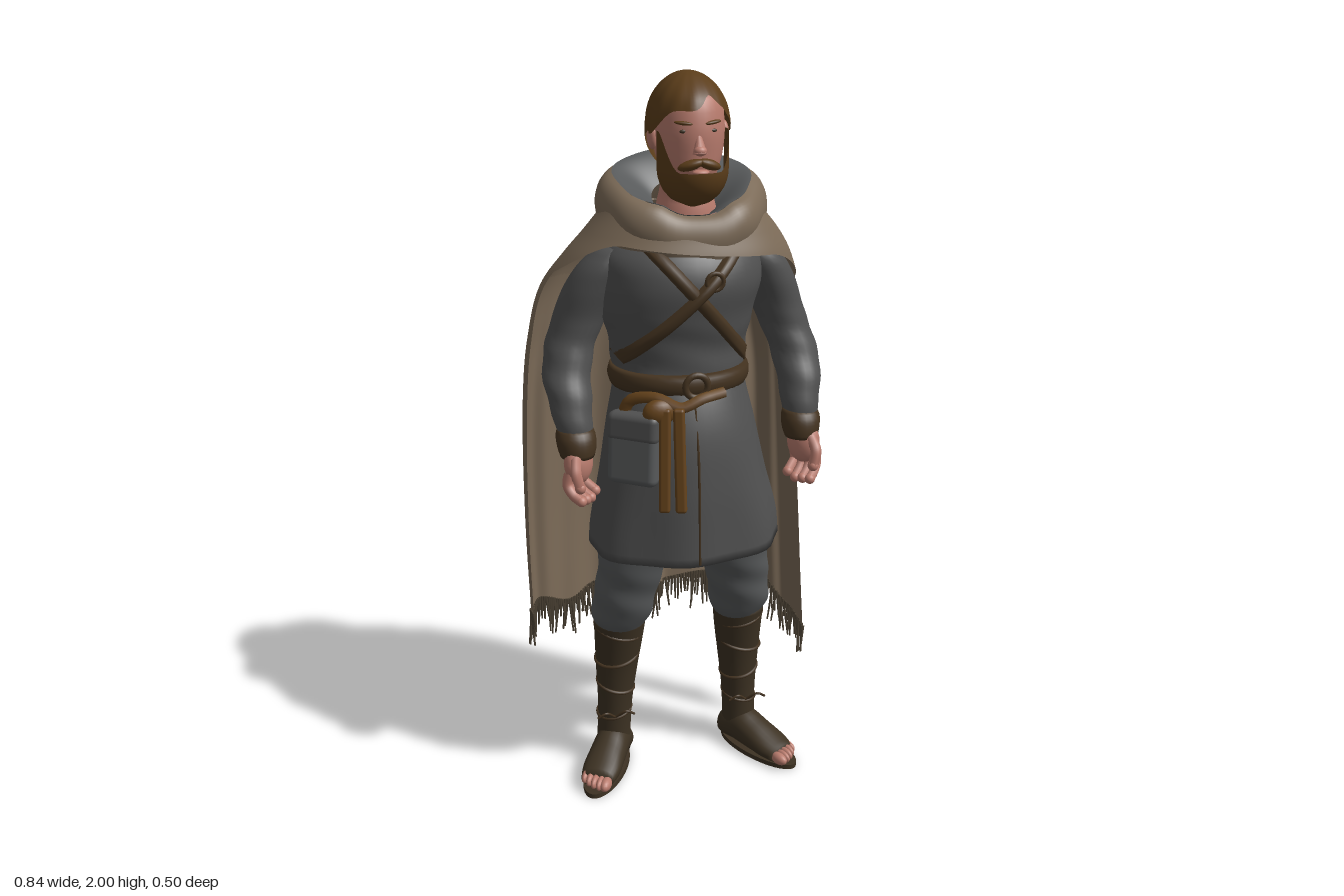
import * as THREE from 'three';
import { mergeVertices, mergeGeometries } from 'three/addons/utils/BufferGeometryUtils.js';
import { RoundedBoxGeometry } from 'three/addons/geometries/RoundedBoxGeometry.js';

const { sin, cos, PI, abs, sign, sqrt, exp, max, min } = Math;
const lerp = THREE.MathUtils.lerp, smooth = THREE.MathUtils.smoothstep;
const V = (x, y, z) => new THREE.Vector3(x, y, z);

// Smooth surface from a function of (u, v), both 0..1
function grid(nu, nv, fn) {
  const pos = [], idx = [];
  for (let j = 0; j <= nv; j++) for (let i = 0; i <= nu; i++) pos.push(...fn(i / nu, j / nv));
  for (let j = 0; j < nv; j++) for (let i = 0; i < nu; i++) {
    const a = j * (nu + 1) + i, b = a + nu + 1;
    idx.push(a, a + 1, b, a + 1, b + 1, b);
  }
  let g = new THREE.BufferGeometry();
  g.setAttribute('position', new THREE.Float32BufferAttribute(pos, 3));
  g.setIndex(idx);
  g = mergeVertices(g, 1e-5);
  g.computeVertexNormals();
  return g;
}

// Smooth interpolation of rows [y, ...values], listed from low to high
function rowsAt(rows) {
  const n = rows[0].length - 1;
  const it = new THREE.CubicInterpolant(new Float32Array(rows.map(r => r[0])),
    new Float32Array(rows.flatMap(r => r.slice(1))), n);
  return y => Array.from(it.evaluate(y));
}

// Body of elliptical rings [y, cx, cz, rx, rz], closed at both ends
function loft(rows, nu = 28, nv = 24, ripple = () => 0) {
  const at = rowsAt(rows), y0 = rows[0][0], y1 = rows[rows.length - 1][0];
  return grid(nu, nv + 2, (u, v) => {
    const k = v * (nv + 2) - 1, y = lerp(y0, y1, min(1, max(0, k / nv))), a = u * 2 * PI;
    const [cx, cz, rx, rz] = at(y), s = (k < 0 || k > nv) ? 0 : 1 + ripple(a, y);
    return [cx + rx * s * sin(a), y, cz + rz * s * cos(a)];
  });
}

export function createModel() {
  const root = new THREE.Group();
  const mat = (name, color, side = THREE.FrontSide) => Object.assign(new THREE.MeshStandardMaterial({ color, side }), { name });
  const M = {
    cloak: mat('cloakWool', 0x7b6a57, THREE.DoubleSide), fringe: mat('fringeThread', 0x4e4436),
    tunic: mat('greyTunic', 0x505050, THREE.DoubleSide), trousers: mat('greyTrousers', 0x57595a, THREE.DoubleSide),
    boot: mat('bootLeather', 0x3d3223), belt: mat('darkLeather', 0x443320, THREE.DoubleSide),
    leather: mat('tanLeather', 0x64421b), skin: mat('skin', 0xb97c6e),
    hair: mat('brownHair', 0x5b3d1a, THREE.DoubleSide),
  };
  const add = (name, geo, m, parent = root) => {
    const mesh = new THREE.Mesh(geo, m);
    mesh.name = name;
    parent.add(mesh);
    return mesh;
  };
  const ball = (name, m, p, s, parent) => {
    const b = add(name, new THREE.SphereGeometry(1, 18, 12), m, parent);
    b.position.set(...p); b.scale.set(...s);
    return b;
  };
  const tube = (name, pts, r, m, parent) =>
    add(name, new THREE.TubeGeometry(new THREE.CatmullRomCurve3(pts.map(p => V(...p))), 20, r, 6), m, parent);

  // Tunic body and skirt
  const chest = [[1.2, 0, .02, .175, .15], [1.3, 0, .015, .185, .15], [1.4, 0, .012, .205, .17],
    [1.48, .01, .012, .215, .178], [1.55, .01, .005, .2, .16], [1.61, .02, 0, .13, .11], [1.64, .022, 0, .095, .088]];
  const skirt = [[.74, .01, .055, .265, .193], [.8, .01, .053, .26, .193], [.95, .005, .05, .228, .19],
    [1.1, 0, .042, .2, .178], [1.18, 0, .028, .182, .165], [1.22, 0, .02, .175, .153]];
  add('tunicBody', loft(chest, 36, 30, (a, y) => .014 * sin(y * 60 + 2 * sin(a * 2)) * smooth(1.42 - y, 0, .1)), M.tunic);
  add('tunicSkirt', loft(skirt, 48, 20, (a, y) => .03 * cos(a * 7 + 1) * smooth(1.2 - y, 0, .45)), M.tunic);
  const front = rows => {
    const at = rowsAt(rows);
    return (x, y) => { const [cx, cz, rx, rz] = at(y); return cz + rz * sqrt(max(0, 1 - ((x - cx) / rx) ** 2)); };
  };
  const chestZ = front(chest), skirtZ = front(skirt);
  tube('skirtOpening', [.745, .8, .87, .95, 1.05, 1.18].map(y => [0, y, skirtZ(0, y) + .003 * smooth(1.2 - y, 0, .45)]), .0035, M.belt);

  // Crossed chest straps
  const strap = (name, x0, y0, x1, y1, lift) => {
    const d = V(x1 - x0, y1 - y0, 0).normalize();
    add(name, grid(24, 6, (u, v) => {
      const s = v * 2 - 1, x = lerp(x0, x1, u) - d.y * s * .018, y = lerp(y0, y1, u) + d.x * s * .018;
      return [x, y, chestZ(x, y) + lift * (1 - s ** 4)];
    }), M.belt);
  };
  strap('chestStrapA', -.12, 1.6, .18, 1.26, .014);
  strap('chestStrapB', -.175, 1.28, .13, 1.57, .019);
  const clasp = add('strapBuckle', new THREE.TorusGeometry(.022, .006, 8, 16), M.belt);
  clasp.position.set(.05, 1.5, chestZ(.05, 1.5) + .014);

  // Belt, buckle, knotted leather, hanging tails and pouch
  add('belt', loft([[1.195, 0, .02, .183, .16], [1.21, 0, .02, .19, .167], [1.235, 0, .02, .19, .167], [1.25, 0, .02, .183, .16]], 36, 6), M.belt);
  add('beltBuckle', new THREE.TorusGeometry(.03, .009, 8, 24), M.belt).position.set(.005, 1.225, .19);
  tube('leatherWrap', [[-.18, 1.13, .125], [-.16, 1.185, .14], [-.1, 1.2, .18], [-.04, 1.175, .203], [.02, 1.195, .2], [.08, 1.2, .18]], .016, M.leather);
  ball('leatherKnot', M.leather, [-.095, 1.165, .194], [.045, .036, .026]);
  [[-.088, .9, .03], [-.05, .9, .03], [-.115, 1.04, .028]].forEach(([x, y0, w], i) => {
    const h = 1.18 - y0, y = y0 + h / 2, t = add('leatherTail' + i, new RoundedBoxGeometry(w, h, .024, 2, .008), M.leather);
    t.position.set(x, y, skirtZ(x, y) + .007);
    t.rotation.set(-.1, -.35, .03 * (i - 1));
  });
  const pouch = new THREE.Group();
  pouch.name = 'pouch'; pouch.position.set(-.157, 1.06, .168); pouch.rotation.set(-.1, -.65, -.06);
  root.add(pouch);
  add('pouchBag', new RoundedBoxGeometry(.14, .19, .05, 3, .02), M.trousers, pouch);
  add('pouchFlap', new RoundedBoxGeometry(.145, .08, .056, 3, .02), M.tunic, pouch).position.y = .06;

  // Cloak surface: a = 0 at the back, y is height. Rows: y, left x, right x, back z, front z, side z
  const cloakAt = rowsAt([[.3, -.41, .412, -.215, .1, -.01], [.5, -.415, .4, -.22, .1, -.018], [.8, -.418, .385, -.23, .1, -.035],
    [1.15, -.405, .365, -.234, .15, -.065], [1.3, -.385, .35, -.236, .17, -.085], [1.45, -.345, .345, -.235, .19, -.08],
    [1.54, -.285, .31, -.23, .185, -.04], [1.6, -.235, .27, -.217, .165, -.02], [1.66, -.19, .22, -.19, .145, -.01], [1.76, -.14, .17, -.15, .1, 0]]);
  const pw = (v, p) => sign(v) * abs(v) ** p;
  const cloak = (a, y) => {
    const [xl, xr, zb, zf, cz] = cloakAt(y), low = smooth(1.62 - y, 0, .5), p = lerp(.95, a < 0 ? .88 : .62, low);
    const s = pw(sin(a), p), c = pw(cos(a), p);
    const seam = .035 * exp(-((s / .035) ** 2)), lobe = .03 * exp(-(((a - .75) / .2) ** 2));
    const fold = low * (.011 * sin(a * 8 + 1.2 + y) + .006 * sin(a * 17 - y * 2) + seam - lobe);
    const mid = (xl + xr) / 2, r = (xr - xl) / 2;
    return [mid + r * s * (1 - .6 * fold), y, cz + (c > 0 ? (zb - cz) * c + fold * min(1, c * 2) : (cz - zf) * c)];
  };
  const edge = a => 1.42 + .145 * smooth(-cos(a), -.3, .75) - .03 * sin(a);
  const hem = a => .475 - .125 * smooth(a, .6, 1.4) + .03 * smooth(-a, .6, 1.5) + .012 * sin(a * 11);
  // Angle along the cape, t from -1 at its right edge to 1 at its left edge
  const capeAngle = t => (t < 0 ? 1.64 : 1.5) * pw(t, 1.4);
  add('cloakMantle', grid(120, 16, (u, v) => {
    const a = PI - u * 2 * PI;
    return cloak(a, lerp(edge(a), 1.68 + .065 * cos(a), v));
  }), M.cloak);
  add('cloakCape', grid(160, 40, (u, v) => {
    const a = capeAngle(1 - 2 * u);
    return cloak(a, lerp(hem(a), edge(a) + .01, v));
  }), M.cloak);

  // Hood lying round the neck, dipping at the throat, with its grey lining
  const hood = profile => grid(64, 18, (u, v) => {
    const a = PI - u * 2 * PI, [k, dy] = profile(v), f = smooth(-cos(a), .2, 1);
    const lump = 1 + .035 * sin(a * 5 + 1), dip = .022 * smooth(-cos(a), .85, 1);
    return [.022 + .178 * k * lump * sin(a), 1.727 + .05 * cos(a) - dip + dy * (1 - .2 * f), -.018 - .15 * k * lump * cos(a)];
  });
  add('hoodRoll', hood(v => [1 + .17 * sin(PI * (1 - v) ** .8) + .2 * (1 - v), -.14 * (1 - v) + .008 * sin(PI * v ** 3)]), M.cloak);
  add('hoodLining', hood(v => [1.02 - .57 * v, .003 - .065 * v ** 1.5]), M.trousers);

  // Hanging threads along the hem
  let seed = 7;
  const rnd = () => (seed = (seed * 16807) % 2147483647) / 2147483647;
  const threads = [];
  for (let i = 0; i < 140; i++) {
    const a = capeAngle(i / 69.5 - 1), h = .05 + .075 * rnd(), [x, y, z] = cloak(a, hem(a));
    const t = new THREE.CylinderGeometry(.0045, .0025, h, 4);
    t.translate(0, -h / 2 + .012, 0).rotateZ((rnd() - .5) * .25).rotateX((rnd() - .5) * .25).translate(x, y, z);
    threads.push(t);
  }
  add('cloakFringe', mergeGeometries(threads), M.fringe);

  // Head and neck
  const hx = .025;
  add('head', loft([[1.58, hx, 0, .09, .08], [1.66, hx, 0, .078, .078], [1.7, hx, 0, .068, .074], [1.75, hx, .03, .07, .09], [1.8, hx, .025, .085, .104],
    [1.88, hx, .02, .091, .11], [1.95, hx, .012, .075, .09], [1.985, hx, .01, .03, .04]], 32, 26), M.skin);
  const nose = add('nose', new THREE.ConeGeometry(.019, .065, 12), M.skin);
  nose.position.set(hx, 1.842, .129); nose.rotation.x = -.22;
  ball('noseTip', M.skin, [hx, 1.818, .139], [.017, .013, .015]);
  ball('lips', M.skin, [hx, 1.766, .146], [.022, .008, .014]);
  for (const s of [-1, 1]) {
    ball('ear', M.skin, [hx + s * .093, 1.842, .022], [.014, .034, .022]);
    ball('eye', M.boot, [hx + s * .036, 1.864, .119], [.012, .005, .005]);
    const brow = ball('eyebrow', M.hair, [hx + s * .038, 1.884, .119], [.024, .005, .008]);
    brow.rotation.set(0, s * .35, s * .1);
    const mou = ball('moustache', M.hair, [hx + s * .024, 1.784, .138], [.034, .013, .018]);
    mou.rotation.set(0, s * .35, -s * .3);
  }
  // Swept hair cap and full beard, each an ellipsoid cut along a shaped edge; a = 0 at the front
  add('hair', grid(64, 20, (u, v) => {
    const a = u * 2 * PI, c = cos(a);
    const brow = lerp(1.85, 1.915, smooth(c, .2, .85)) + .035 * exp(-(((sin(a) - .3) / .25) ** 2)) * smooth(c, .3, .8);
    const y = c > 0 ? brow : lerp(1.85, 1.765, smooth(-c, 0, .6));
    const phi = Math.acos((y - 1.86) / .14) * (1 - v), r = sin(phi) * (1 + .012 * sin(a * 14 + 4 * phi));
    const quiff = c > 0 ? .016 * c * smooth(phi, .4, 1) : 0;
    return [hx + .107 * r * sin(a), 1.86 + .14 * cos(phi), .013 + .128 * r * c + quiff];
  }), M.hair);
  add('beard', grid(40, 18, (u, v) => {
    const a = (u - .5) * PI * 1.16, y = lerp(1.765, 1.86, smooth(abs(a), .6, 1.5));
    const h = lerp(1.67, y, 1 - (1 - v) ** 2), r = h < 1.765 ? sqrt(max(0, 1 - ((1.765 - h) / .096) ** 2)) : 1;
    return [hx + .091 * r * sin(a), h, .068 + .092 * r * cos(a)];
  }), M.hair);

  // Arms, hands, legs and boots for both sides
  for (const s of [-1, 1]) {
    const n = s > 0 ? 'left' : 'right';
    const side = (rows, dx = .015) => rows.map(([y, x, z, rx, rz = rx]) => [y, s * x + dx, z, rx, rz]);
    add(n + 'Sleeve', loft(side([[1.07, .312, .07, .045], [1.15, .318, .042, .056, .06], [1.22, .32, .002, .064, .07], [1.28, .308, -.03, .066, .075], [1.36, .278, -.045, .07, .08],
      [1.46, .238, -.03, .072, .082], [1.52, .205, -.015, .064, .072], [1.56, .18, -.01, .04, .05]], .02), 24, 32,
    (a, y) => .03 * sin(y * 75 + a) * smooth(1.4 - y, 0, .12)), M.tunic);
    add(n + 'Cuff', loft(side([[1.025, .312, .086, .045], [1.045, .312, .081, .051], [1.08, .313, .071, .053], [1.1, .313, .063, .046]], .02), 24, 8), M.belt);
    const hand = new THREE.Group();
    hand.name = n + 'Hand'; hand.position.set(s * .31 + .022, 1.055, .086); hand.rotation.set(-.12, s * .75, 0);
    hand.scale.setScalar(1.14);
    root.add(hand);
    ball('palm', M.skin, [0, -.04, .005], [.03, .052, .042], hand);
    for (let i = 0; i < 4; i++) {
      const z = -.027 + i * .02, drop = i === 0 ? -.1 : -.112;
      tube('finger' + i, [[s * .008, -.06, z], [s * .014, -.09, z], [0, drop, z], [-s * .022, drop - .014, z]], .0125, M.skin, hand);
      ball('fingertip' + i, M.skin, [-s * .022, drop - .014, z], [.0125, .0125, .0125], hand);
    }
    tube('thumb', [[-s * .01, -.025, .03], [-s * .022, -.055, .05], [-s * .028, -.09, .045]], .013, M.skin, hand);
    ball('thumbTip', M.skin, [-s * .028, -.09, .045], [.013, .014, .013], hand);

    add(n + 'TrouserLeg', loft(side([[.45, .175, -.025, .065], [.49, .175, -.012, .082, .08], [.54, .17, 0, .088, .085], [.62, .158, .018, .09, .088],
      [.72, .14, .03, .102, .1], [.85, .115, .03, .11, .1]]), 28, 28, (a, y) => .03 * sin(y * 60 + 2 * a) * smooth(.74 - y, 0, .12)), M.trousers);
    add(n + 'BootShaft', loft(side([[.03, .195, -.05, .05, .052], [.1, .193, -.05, .049, .05], [.18, .19, -.047, .05, .05], [.3, .185, -.04, .06, .056],
      [.4, .18, -.03, .069, .066], [.485, .177, -.018, .076, .074]]), 24, 20), M.boot);
    // Leather thongs wound round the shaft
    [.16, .25, .35, .44].forEach((y, i) => {
      const t = add(n + 'BootThong' + i, new THREE.TorusGeometry(.05 + .019 * smooth(y, .15, .46), .005, 6, 28), M.belt);
      t.position.set(s * (.194 - .038 * (y - .1)) + .015, y, -.052 + .085 * max(0, y - .14));
      t.rotation.set(PI / 2 + .12, (i % 2 ? .22 : -.22) * s, 0);
    });
    for (const k of [-1, 1])
      tube(n + 'BootLace', [[s * .2 + .015, .16, .003], [s * .2 + .015 + k * .03, .185, .02], [s * .2 + .015 + k * .055, .17, .015]], .0035, M.belt);
    // Open-toed foot turned outward
    const foot = new THREE.Group();
    foot.name = n + 'Foot'; foot.position.set(s * .19 + .015, 0, -.05); foot.rotation.y = s * .5;
    root.add(foot);
    const shoe = loft([[-.055, 0, -.04, .03, .035], [-.04, 0, -.045, .044, .042], [.02, 0, -.058, .05, .056], [.09, 0, -.048, .054, .046], [.15, 0, -.037, .055, .034], [.19, 0, -.03, .047, .026]], 24, 18);
    add('shoe', shoe.rotateX(PI / 2), M.boot, foot);
    const sole = new THREE.CylinderGeometry(1, 1, .014, 32);
    add('sole', sole.scale(.056, 1, .147).translate(0, .007, .09), M.boot, foot);
    for (let i = 0; i < 5; i++)
      ball('toe' + i, M.skin, [s * (-.032 + i * .017), .032, .205 - i * i * .0018], [i ? .011 : .016, .018, .029], foot);
  }
  return root;
}
